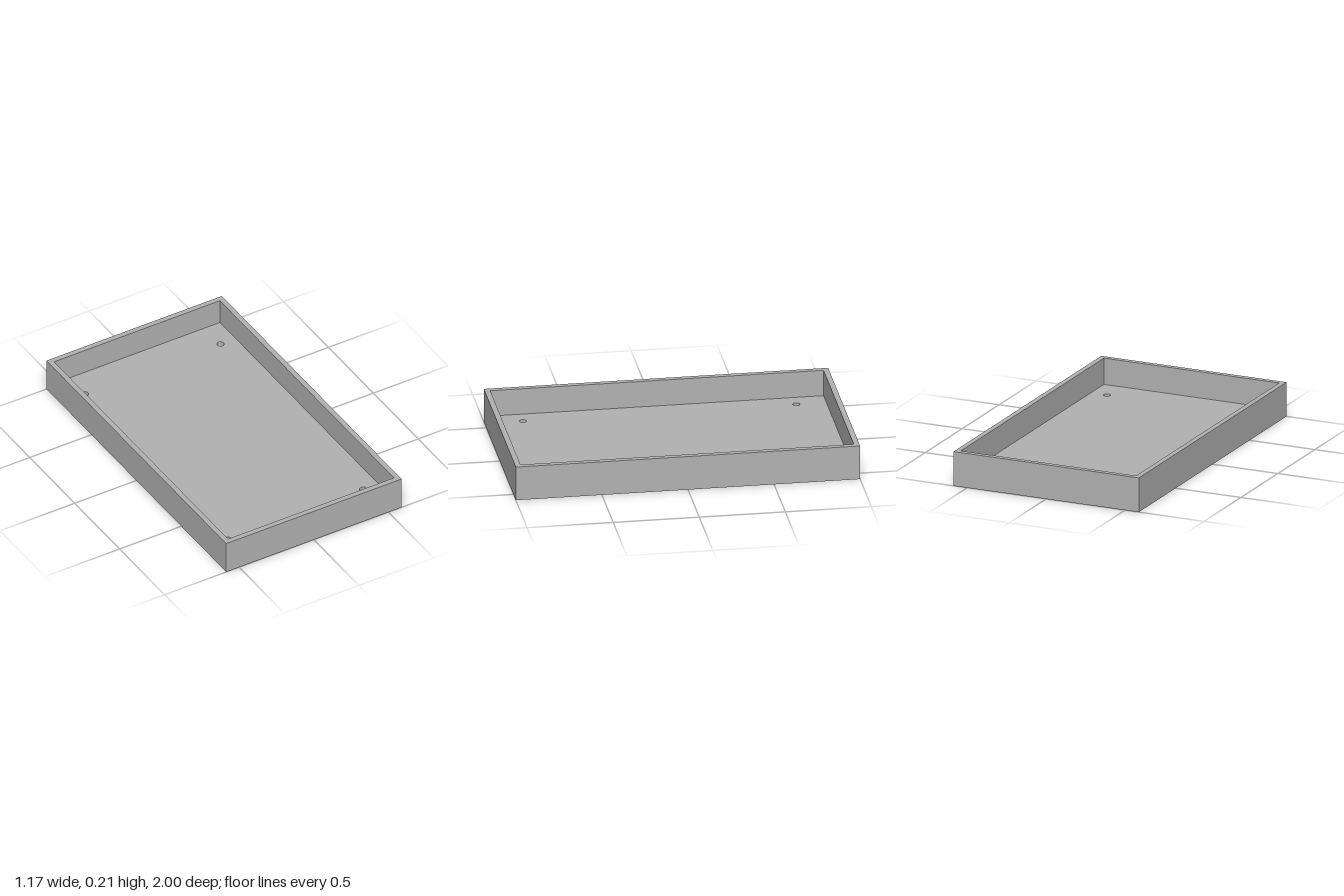
import * as THREE from 'three';

const HALF_X = 0.587, HALF_Z = 1, HEIGHT = 0.206;
const WALL = 0.032, FLOOR = 0.048;
const HOLE_X = 0.454, HOLE_Z = 0.794, HOLE_R = 0.021;

// Traces a centred rectangle on a shape or path
function rectangle(path, hx, hz) {
  path.moveTo(-hx, -hz);
  path.lineTo(hx, -hz);
  path.lineTo(hx, hz);
  path.lineTo(-hx, hz);
  path.closePath();
  return path;
}

// Extrudes a plan outline upwards from y = 0
function extrudeUp(shape, height) {
  const geometry = new THREE.ExtrudeGeometry(shape, { depth: height, bevelEnabled: false, curveSegments: 32 });
  return geometry.rotateX(-Math.PI / 2);
}

export function createModel() {
  const group = new THREE.Group();
  group.name = 'tray';
  const grey = new THREE.MeshStandardMaterial({ color: 0xb2b2b2 });
  grey.name = 'grey';

  const innerX = HALF_X - WALL, innerZ = HALF_Z - WALL;

  // Rim: four walls in one ring
  const rimShape = rectangle(new THREE.Shape(), HALF_X, HALF_Z);
  rimShape.holes.push(rectangle(new THREE.Path(), innerX, innerZ));
  const walls = new THREE.Mesh(extrudeUp(rimShape, HEIGHT), grey);
  walls.name = 'walls';

  // Floor with a screw hole near each corner
  const floorShape = rectangle(new THREE.Shape(), innerX, innerZ);
  for (const sx of [-1, 1]) {
    for (const sz of [-1, 1]) {
      const hole = new THREE.Path();
      hole.absarc(sx * HOLE_X, sz * HOLE_Z, HOLE_R, 0, Math.PI * 2, true);
      floorShape.holes.push(hole);
    }
  }
  const floor = new THREE.Mesh(extrudeUp(floorShape, FLOOR), grey);
  floor.name = 'floor';

  group.add(walls, floor);
  return group;
}
